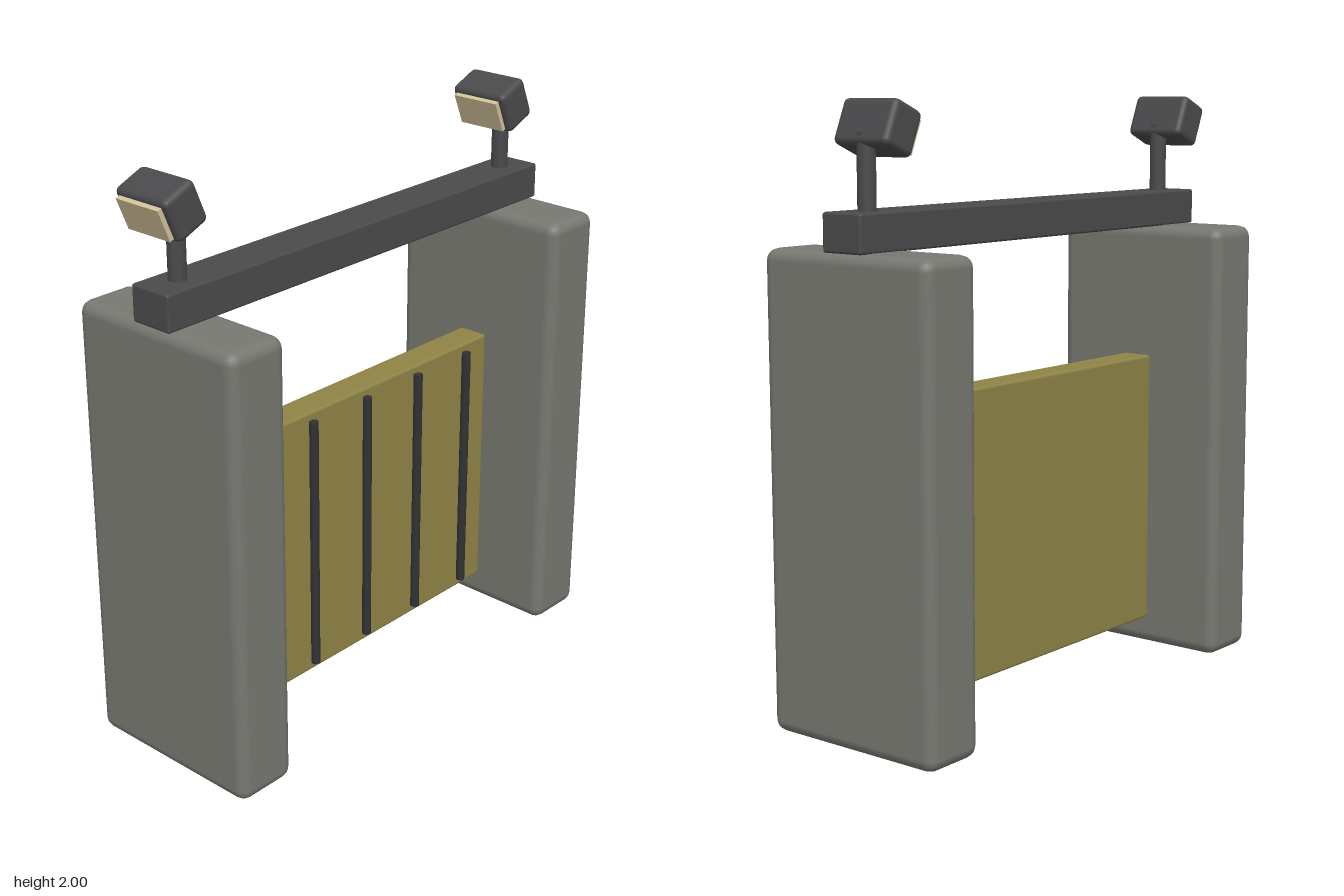
import * as THREE from 'three';
import { RoundedBoxGeometry } from 'three/addons/geometries/RoundedBoxGeometry.js';

const material = (name, color) => {
  const m = new THREE.MeshStandardMaterial({ color });
  m.name = name;
  return m;
};

export function createModel() {
  const concrete = material('concrete grey', 0x787872);
  const olive = material('olive panel', 0x8f8446);
  const steel = material('dark steel', 0x4a4a4c);
  const black = material('black rib', 0x323234);
  const cream = material('cream lens', 0xd2c29a);

  const model = new THREE.Group();
  model.name = 'gate';

  const add = (parent, name, geometry, mat, x, y, z) => {
    const mesh = new THREE.Mesh(geometry, mat);
    mesh.name = name;
    mesh.position.set(x, y, z);
    parent.add(mesh);
    return mesh;
  };
  const block = (w, h, d, r) => new RoundedBoxGeometry(w, h, d, 2, r);

  // Crossbeam resting on both pillars
  add(model, 'crossbeam', block(0.156, 0.122, 1.764, 0.008), steel, 0, 1.604, -0.016);

  // Gate panel between the pillars, ribbed on one side
  add(model, 'gatePanel', block(0.112, 0.976, 1.306, 0.01), olive, 0, 0.59, -0.016);
  for (let i = 0; i < 5; i++) {
    add(model, 'panelRib', new THREE.CylinderGeometry(0.016, 0.016, 0.915, 12), black,
      0.069, 0.593, 0.506 - i * 0.262);
  }

  // Each end: pillar, lamp post and tilted floodlight
  for (const [end, z] of [['front', 0.752], ['back', -0.784]]) {
    add(model, end + 'Pillar', block(0.677, 1.545, 0.228, 0.04), concrete, 0, 0.7725, z);
    add(model, end + 'LampPost', new THREE.CylinderGeometry(0.029, 0.029, 0.24, 16), steel,
      0, 1.78, z);

    const lamp = new THREE.Group();
    lamp.name = end + 'Floodlight';
    lamp.position.set(0, 1.911, z + 0.051);
    lamp.rotation.x = 0.4;
    add(lamp, 'lampHousing', block(0.222, 0.15, 0.128, 0.02), steel, 0, 0, 0);
    add(lamp, 'lampLens', new THREE.BoxGeometry(0.178, 0.112, 0.016), cream, 0, 0, 0.072);
    model.add(lamp);
  }
  return model;
}
